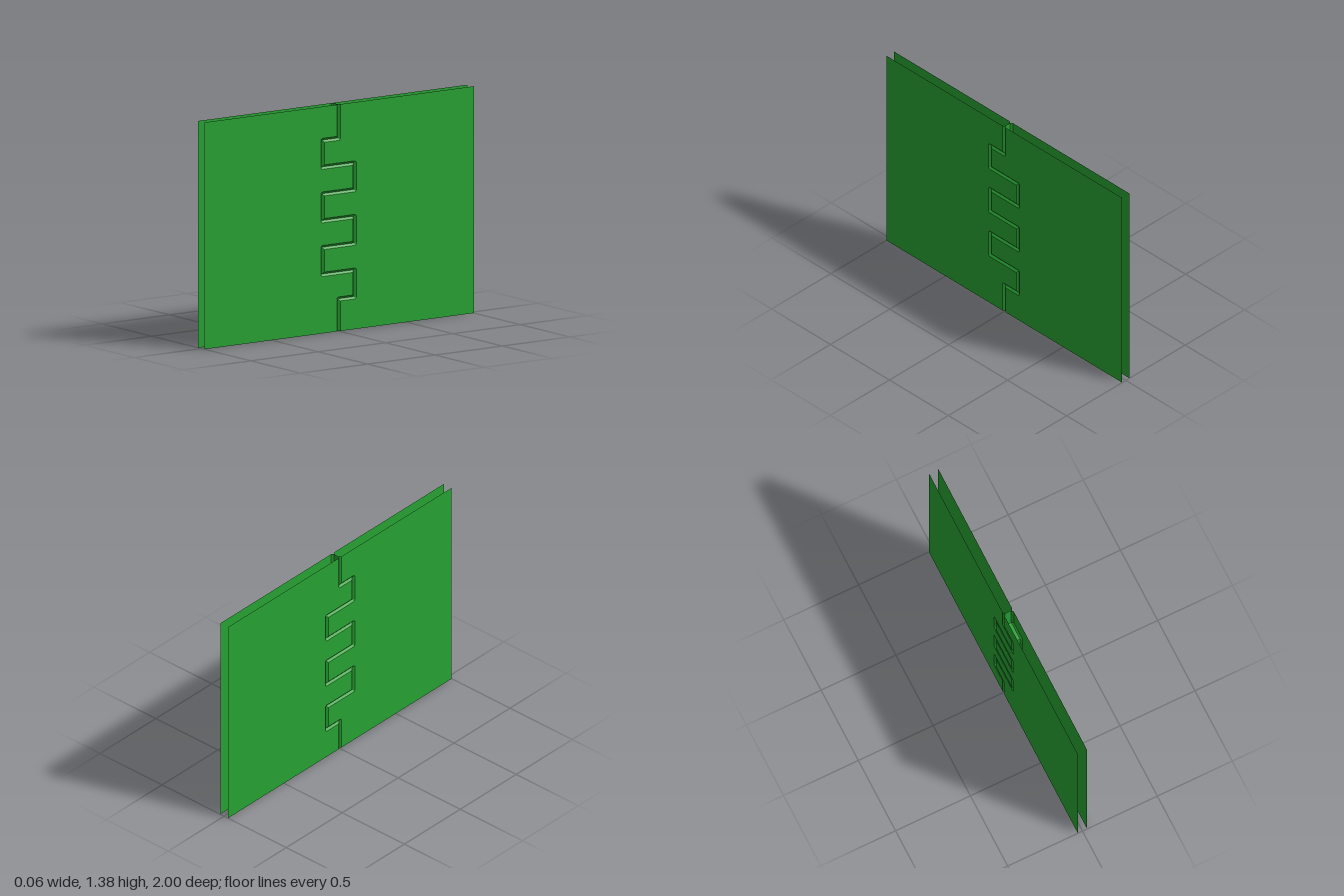
import * as THREE from 'three';

const HEIGHT = 1.38;
const HALF = 0.031;   // half thickness at the faces
const CORE = 0.02;    // half thickness of the flat meeting wall
const BEVEL = 0.013;  // bevel width beside the seam
const CORNER = 0.009; // cut across the outer seam corners

const material = new THREE.MeshStandardMaterial({ color: 0x27a232, side: THREE.DoubleSide, flatShading: true });

// Zigzag seam between the leaves, from top to bottom, as (z, y)
function seamPoints() {
  const pts = [[0.003, HEIGHT]];
  let z = 0.003;
  for (let i = 0; i < 7; i++) {
    const y = 1.174 - i * 0.163;
    pts.push([z, y]);
    z = i === 6 ? 0.003 : i % 2 ? -0.115 : 0.121;
    pts.push([z, y]);
  }
  pts.push([z, 0]);
  return pts.map(([a, b]) => new THREE.Vector2(a, b));
}

// Seam and its bevelled offset on one side, with matching point counts
function seamRows(side) {
  const pts = seamPoints();
  const dirs = pts.slice(1).map((p, i) => p.clone().sub(pts[i]).normalize());
  const normal = (t) => new THREE.Vector2(-t.y, t.x);
  const rows = [];
  pts.forEach((p, i) => {
    const t1 = dirs[i - 1], t2 = dirs[i];
    if (!t1 || !t2) {
      rows.push({ mid: p, edge: p.clone().addScaledVector(normal(t1 || t2), side * BEVEL) });
      return;
    }
    const corner = p.clone().addScaledVector(normal(t1).add(normal(t2)), side * BEVEL);
    const cut = side * t1.cross(t2) < 0 ? CORNER : 0;
    rows.push({ mid: p, edge: corner.clone().addScaledVector(t1, -cut) });
    rows.push({ mid: p, edge: corner.clone().addScaledVector(t2, cut) });
  });
  return rows;
}

// Flat face sheet of a leaf at the given x
function sheet(rows, side, x) {
  const outline = [...rows.map((r) => r.edge), new THREE.Vector2(side, 0), new THREE.Vector2(side, HEIGHT)];
  const geo = new THREE.ShapeGeometry(new THREE.Shape(outline));
  geo.rotateY(-Math.PI / 2).translate(x, 0, 0);
  if (x > 0) {
    geo.index.array.reverse();
    geo.computeVertexNormals();
  }
  return new THREE.Mesh(geo, material);
}

// Meeting edge of a leaf: bevel, flat wall, bevel
function meetingEdge(rows, side) {
  const pos = [], index = [];
  rows.forEach(({ mid, edge }, i) => {
    pos.push(HALF, edge.y, edge.x, CORE, mid.y, mid.x, -CORE, mid.y, mid.x, -HALF, edge.y, edge.x);
    if (i === rows.length - 1) return;
    for (let j = 0; j < 3; j++) {
      const a = i * 4 + j, b = a + 4;
      if (side > 0) index.push(a, b, a + 1, b, b + 1, a + 1);
      else index.push(a, a + 1, b, b, a + 1, b + 1);
    }
  });
  const indexed = new THREE.BufferGeometry();
  indexed.setAttribute('position', new THREE.Float32BufferAttribute(pos, 3));
  indexed.setIndex(index);
  const geo = indexed.toNonIndexed();
  geo.computeVertexNormals();
  return new THREE.Mesh(geo, material);
}

export function createModel() {
  const model = new THREE.Group();
  model.name = 'interlockingDoor';
  for (const side of [1, -1]) {
    const leaf = new THREE.Group();
    leaf.name = side > 0 ? 'frontLeaf' : 'backLeaf';
    const rows = seamRows(side);
    const left = sheet(rows, side, HALF);
    left.name = 'leftFace';
    const right = sheet(rows, side, -HALF);
    right.name = 'rightFace';
    const edge = meetingEdge(rows, side);
    edge.name = 'meetingEdge';
    leaf.add(left, right, edge);
    model.add(leaf);
  }
  return model;
}
